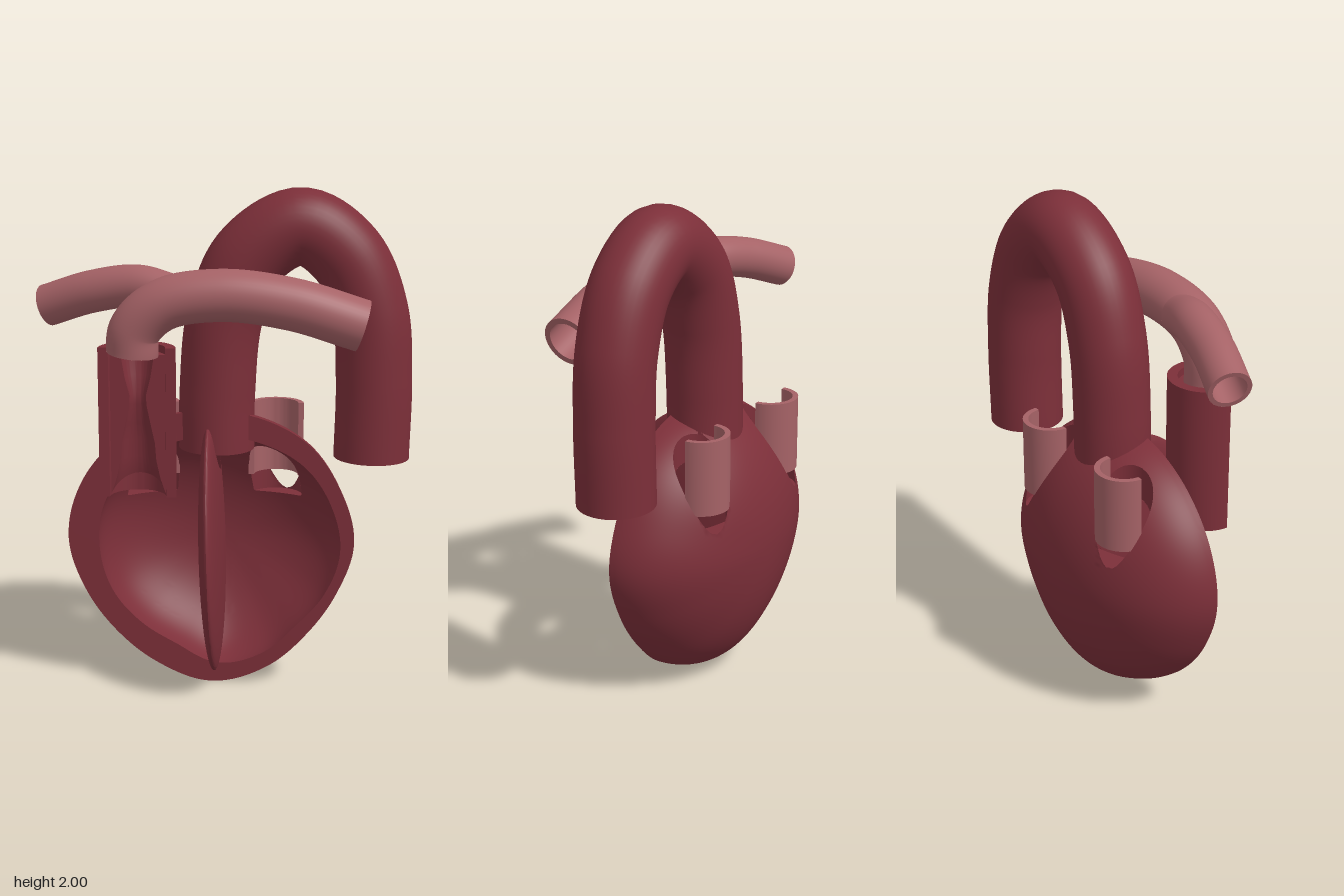
import * as THREE from 'three';
import { mergeGeometries, toCreasedNormals } from 'three/addons/utils/BufferGeometryUtils.js';

const darkRed = new THREE.MeshStandardMaterial({ name: 'dark red muscle', color: 0x7c2f39, side: THREE.DoubleSide });
const pink = new THREE.MeshStandardMaterial({ name: 'pink vessel', color: 0xa56266, side: THREE.DoubleSide });

// Wall domes: radii at 16 equal angles around a centre, bulging back from the cut plane
const CUT = 0.02;
const outer = {
  cx: -0.065, cy: 0.6, depth: 0.38,
  radii: [0.57, 0.556, 0.555, 0.54, 0.53, 0.54, 0.555, 0.57, 0.575, 0.553, 0.548, 0.568, 0.6, 0.578, 0.547, 0.547],
};
const inner = {
  cx: -0.04, cy: 0.56, depth: 0.3,
  radii: [0.49, 0.49, 0.49, 0.475, 0.47, 0.475, 0.485, 0.49, 0.475, 0.46, 0.44, 0.435, 0.48, 0.47, 0.445, 0.465],
};

// Smooth closed interpolation of the radius table
function radiusAt(dome, angle) {
  const n = dome.radii.length;
  const u = ((angle / (2 * Math.PI)) % 1 + 1) % 1 * n;
  const i = Math.floor(u), t = u - i;
  const [a, b, c, d] = [-1, 0, 1, 2].map((k) => dome.radii[(i + k + n) % n]);
  return b + 0.5 * t * (c - a + t * (2 * a - 5 * b + 4 * c - d + t * (3 * (b - c) + d - a)));
}

// Negative inside a dome
function domeField(dome, p) {
  const dx = p.x - dome.cx, dy = p.y - dome.cy;
  return Math.hypot(Math.hypot(dx, dy) / radiusAt(dome, Math.atan2(dy, dx)), (p.z - CUT) / dome.depth) - 1;
}
const wallField = (p) => Math.min(-domeField(outer, p), domeField(inner, p), CUT + 1e-5 - p.z);

function domePoint(dome, angle, s) {
  const r = radiusAt(dome, angle) * Math.cos(s);
  return [dome.cx + r * Math.cos(angle), dome.cy + r * Math.sin(angle), CUT - dome.depth * Math.sin(s)];
}

// Grid surface from a function of two steps
function grid(nu, nv, point) {
  const pos = [];
  for (let i = 0; i < nu; i++) {
    for (let j = 0; j < nv; j++) {
      const a = point(i, j), b = point(i + 1, j), c = point(i + 1, j + 1), d = point(i, j + 1);
      pos.push(...a, ...b, ...c, ...a, ...c, ...d);
    }
  }
  return new THREE.BufferGeometry().setAttribute('position', new THREE.Float32BufferAttribute(pos, 3));
}

// Keep only the part of a surface where field(p) >= 0
function clip(geometry, field) {
  const src = (geometry.index ? geometry.toNonIndexed() : geometry).getAttribute('position');
  const out = [];
  for (let i = 0; i < src.count; i += 3) {
    const tri = [0, 1, 2].map((k) => new THREE.Vector3().fromBufferAttribute(src, i + k));
    const f = tri.map(field);
    const poly = [];
    for (let k = 0; k < 3; k++) {
      const n = (k + 1) % 3;
      if (f[k] >= 0) poly.push(tri[k]);
      if (f[k] >= 0 !== f[n] >= 0) poly.push(tri[k].clone().lerp(tri[n], f[k] / (f[k] - f[n])));
    }
    for (let k = 1; k + 1 < poly.length; k++) {
      for (const v of [poly[0], poly[k], poly[k + 1]]) out.push(v.x, v.y, v.z);
    }
  }
  return new THREE.BufferGeometry().setAttribute('position', new THREE.Float32BufferAttribute(out, 3));
}

// Vertical bores through the wall
const bores = [
  { x: -0.32, z: -0.19, r: 0.11, floor: 0.735 },
  { x: 0.185, z: -0.19, r: 0.108, floor: 0.735 },
  { x: -0.05, z: -0.055, r: 0.145, floor: 0.95 },
];
const boreField = (b, p) => Math.max(Math.hypot(p.x - b.x, p.z - b.z) - b.r, b.floor - p.y);
const outsideBores = (p) => Math.min(...bores.map((b) => boreField(b, p)));

function heartWall() {
  const N = 128, M = 48;
  const ang = (i) => (i % N) / N * 2 * Math.PI;
  const outside = grid(N, M, (i, j) => domePoint(outer, ang(i), (1 - j / M) * Math.PI / 2));
  const inside = grid(N, M, (i, j) => domePoint(inner, ang(i), j / M * Math.PI / 2));
  const rim = grid(N, 4, (i, j) => {
    const a = domePoint(outer, ang(i), 0), b = domePoint(inner, ang(i), 0);
    return a.map((v, k) => v + (b[k] - v) * j / 4);
  });
  const parts = [outside, inside, rim].map((g) => clip(g, outsideBores));
  // Sides and floors of the bores, where they pass through the wall
  for (const b of bores) {
    const profile = [];
    for (let i = 0; i <= 8; i++) profile.push(new THREE.Vector2(b.r * i / 8, b.floor));
    for (let i = 1; i <= 24; i++) profile.push(new THREE.Vector2(b.r, b.floor + 0.5 * i / 24));
    parts.push(clip(new THREE.LatheGeometry(profile, 48).translate(b.x, 0, b.z), wallField));
  }
  return toCreasedNormals(mergeGeometries(parts), 0.6);
}

// Hollow vessel along a path, with ring-shaped ends
function vessel(points, r, wall, name, material) {
  const group = new THREE.Group();
  group.name = name;
  const curve = new THREE.CatmullRomCurve3(points.map((p) => new THREE.Vector3(...p)));
  for (const radius of [r, r - wall]) {
    group.add(new THREE.Mesh(new THREE.TubeGeometry(curve, 80, radius, 40), material));
  }
  for (const t of [0, 1]) {
    const ring = new THREE.Mesh(new THREE.RingGeometry(r - wall, r, 40), material);
    const dir = curve.getTangentAt(t).multiplyScalar(t ? 1 : -1);
    ring.quaternion.setFromUnitVectors(new THREE.Vector3(0, 0, 1), dir);
    ring.position.copy(curve.getPointAt(t));
    group.add(ring);
  }
  group.children.forEach((m) => { m.name = name + ' surface'; });
  return group;
}

// Back half of a turned solid, closed by flat cut faces
function halfTurned(profile) {
  const pts = profile.map(([r, y]) => new THREE.Vector2(r, y));
  const parts = [new THREE.LatheGeometry([...pts, pts[0]], 36, Math.PI / 2, Math.PI)];
  for (const side of [1, -1]) {
    parts.push(new THREE.ShapeGeometry(new THREE.Shape(pts.map((p) => new THREE.Vector2(side * p.x, p.y)))));
  }
  return toCreasedNormals(mergeGeometries(parts.map((g) => g.toNonIndexed())), 0.6);
}

export function createModel() {
  const model = new THREE.Group();
  model.name = 'heartCutaway';
  const add = (geometry, material, name, x = 0, y = 0, z = 0) => {
    const mesh = new THREE.Mesh(geometry, material);
    mesh.name = name;
    mesh.position.set(x, y, z);
    model.add(mesh);
  };

  add(heartWall(), darkRed, 'heartWall');

  // Lens-shaped septum, hollowed under the aorta
  const septum = new THREE.SphereGeometry(1, 64, 64).scale(0.049, 0.515, 0.35)
    .rotateZ(0.025).translate(-0.062, 0.575, 0.01);
  const clearOfAorta = (p) => Math.hypot(p.x + 0.05, p.z + 0.055, Math.min(0, p.y - 1.03)) - 0.15;
  add(toCreasedNormals(clip(septum, clearOfAorta), 0.6), darkRed, 'septum');

  // Great arch
  model.add(vessel([
    [-0.048, 0.97, -0.055], [-0.045, 1.2, -0.055], [-0.015, 1.5, -0.055], [0.08, 1.73, -0.057],
    [0.28, 1.85, -0.06], [0.455, 1.74, -0.062], [0.55, 1.52, -0.064], [0.572, 1.25, -0.065], [0.567, 0.935, -0.065],
  ], 0.15, 0.03, 'aorta', darkRed));

  // Front outflow: half pipe with narrowing lining
  add(halfTurned([[0.15, 0.82], [0.15, 1.41], [0.11, 1.41], [0.11, 0.82]]), darkRed, 'outflowPipe', -0.34, 0, 0.175);
  add(halfTurned([
    [0.115, 0.83], [0.115, 1.38], [0.065, 1.38], [0.05, 1.29], [0.032, 1.22], [0.034, 1.18],
    [0.05, 1.1], [0.065, 1.03], [0.07, 0.96], [0.085, 0.89], [0.105, 0.83],
  ]), darkRed, 'outflowLining', -0.34, 0, 0.15);

  // Branching artery across the front
  model.add(vessel([
    [-0.355, 1.39, 0.18], [-0.345, 1.48, 0.185], [-0.24, 1.58, 0.195], [-0.02, 1.62, 0.2],
    [0.25, 1.588, 0.192], [0.52, 1.505, 0.177],
  ], 0.1, 0.022, 'leftArteryBranch', pink));
  model.add(vessel([
    [-0.705, 1.542, -0.005], [-0.52, 1.608, 0.06], [-0.34, 1.638, 0.11], [-0.2, 1.61, 0.16],
  ], 0.082, 0.018, 'rightArteryBranch', pink));

  // Half-pipe veins at the back
  for (const [b, name] of [[bores[0], 'rightVein'], [bores[1], 'leftVein']]) {
    const r = b.r + 0.003;
    add(halfTurned([[r, 0.82], [r, 1.12], [r - 0.022, 1.12], [r - 0.022, 0.82]]), pink, name, b.x, 0, b.z);
  }
  return model;
}
